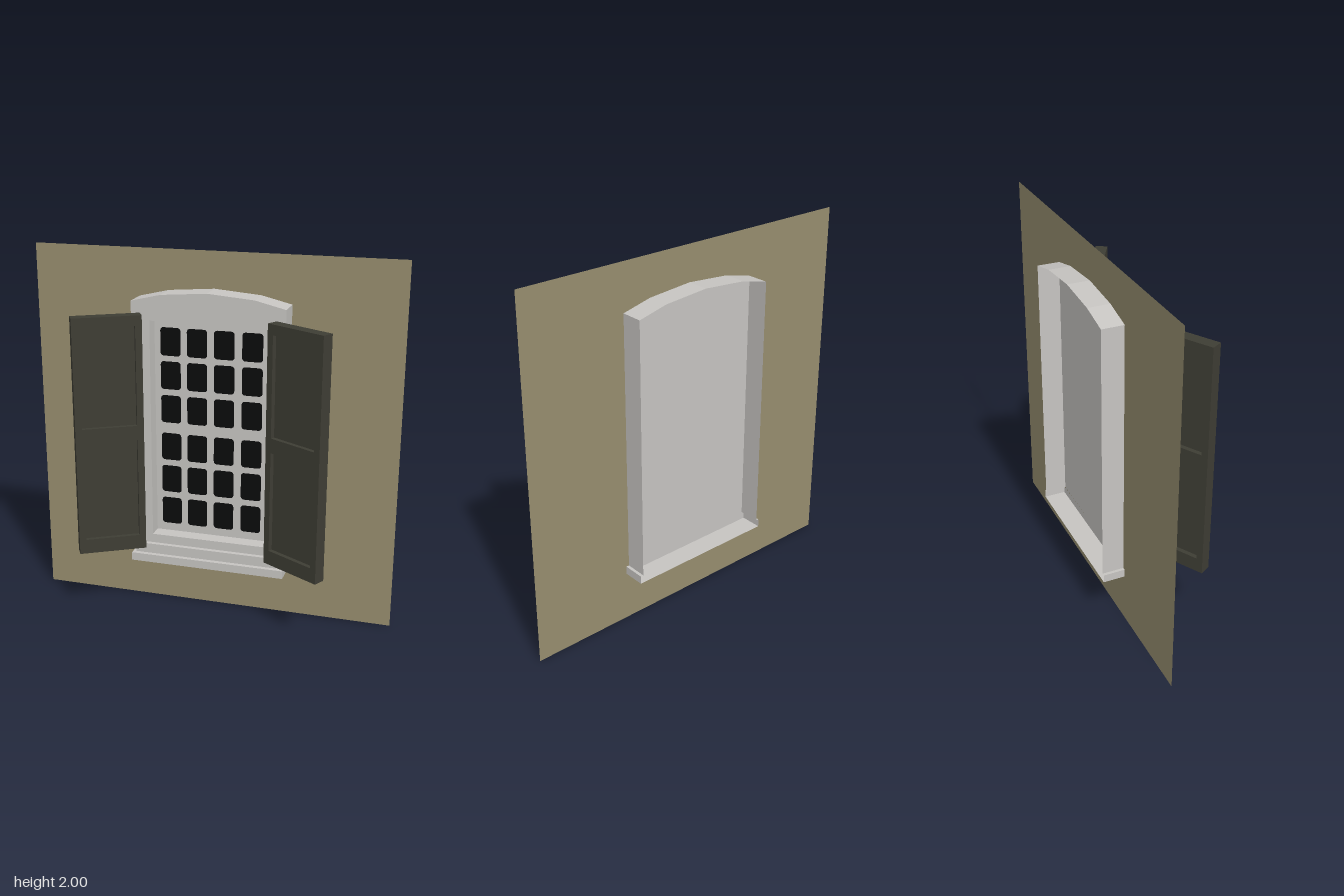
import * as THREE from 'three';

const material = (name, color, side = THREE.FrontSide) => {
  const m = new THREE.MeshStandardMaterial({ color, side });
  m.name = name;
  return m;
};

// Rectangle with optional corner radius, as a shape
function rect(x0, x1, y0, y1, r = 0) {
  const s = new THREE.Shape();
  if (!r) {
    s.moveTo(x0, y0).lineTo(x1, y0).lineTo(x1, y1).lineTo(x0, y1).closePath();
    return s;
  }
  s.absarc(x1 - r, y0 + r, r, -Math.PI / 2, 0);
  s.absarc(x1 - r, y1 - r, r, 0, Math.PI / 2);
  s.absarc(x0 + r, y1 - r, r, Math.PI / 2, Math.PI);
  s.absarc(x0 + r, y0 + r, r, Math.PI, Math.PI * 1.5);
  return s;
}

// Shape with holes, extruded between two depths
function slab(shape, holes, z0, z1) {
  shape.holes.push(...holes);
  const g = new THREE.ExtrudeGeometry(shape, { depth: z1 - z0, bevelEnabled: false });
  return g.translate(0, 0, z0);
}

// Open sheet that follows an outline between two depths
function sheet(points, z0, z1) {
  const pos = [];
  for (let i = 0; i < points.length - 1; i++) {
    const [ax, ay] = points[i], [bx, by] = points[i + 1];
    pos.push(ax, ay, z0, bx, by, z0, bx, by, z1, ax, ay, z0, bx, by, z1, ax, ay, z1);
  }
  const g = new THREE.BufferGeometry();
  g.setAttribute('position', new THREE.Float32BufferAttribute(pos, 3));
  g.computeVertexNormals();
  return g;
}

export function createModel() {
  const group = new THREE.Group();
  const wallMat = material('wall plaster', 0x968d6e, THREE.DoubleSide);
  const frameMat = material('white frame', 0xc6c4c1, THREE.DoubleSide);
  const shutterMat = material('dark shutter', 0x3e3d34);
  const glassMat = material('black glass', 0x0b0c0c);

  const add = (parent, name, geometry, mat) => {
    const mesh = new THREE.Mesh(geometry, mat);
    mesh.name = name;
    parent.add(mesh);
    return mesh;
  };

  const wallZ = -0.13, backZ = -0.25;

  // Wall
  add(group, 'wall', new THREE.PlaneGeometry(2, 2).translate(0, 1, wallZ), wallMat);

  // Arched surround, solid in front of the wall and an open sleeve behind it
  const arch = [[0.413, 0.325], [0.413, 1.745], [0.25, 1.784], [0, 1.804],
    [-0.25, 1.784], [-0.413, 1.745], [-0.413, 0.325]];
  const archShape = new THREE.Shape(arch.map(([x, y]) => new THREE.Vector2(x, y)));
  add(group, 'surround', slab(archShape, [rect(-0.365, 0.365, 0.38, 1.685)], wallZ, 0.01), frameMat);
  add(group, 'surroundSleeve', sheet(arch, backZ, wallZ), frameMat);

  // Sill
  add(group, 'sill', slab(rect(-0.43, 0.43, 0.28, 0.325), [], wallZ, 0.035), frameMat);
  const sillOutline = [[-0.413, 0.325], [-0.43, 0.325], [-0.43, 0.28],
    [0.43, 0.28], [0.43, 0.325], [0.413, 0.325]];
  add(group, 'sillSleeve', sheet(sillOutline, backZ, wallZ), frameMat);

  // Inner frame and sash
  add(group, 'innerFrame', slab(rect(-0.365, 0.365, 0.38, 1.685),
    [rect(-0.321, 0.321, 0.43, 1.64)], wallZ, -0.015), frameMat);
  add(group, 'sash', slab(rect(-0.321, 0.321, 0.43, 1.64), [], wallZ, -0.095), frameMat);

  // Panes
  const panes = new THREE.Group();
  panes.name = 'panes';
  group.add(panes);
  const paneGeometry = new THREE.ShapeGeometry(rect(-0.056, 0.056, -0.077, 0.077, 0.018), 4);
  for (const x of [-0.232, -0.085, 0.064, 0.217]) {
    for (const y of [0.552, 0.74, 0.928, 1.142, 1.33, 1.515]) {
      add(panes, 'pane', paneGeometry, glassMat).position.set(x, y, -0.092);
    }
  }

  // Shutters, swung open by thirty degrees, panelled on both faces
  const w = 0.365 / 2, t = 0.065, inset = 0.036;
  const openings = [[0.46, 1.01], [1.09, 1.63]];
  const holes = openings.map(([a, b]) => rect(-w + inset, w - inset, a, b));
  const shutterFrame = slab(rect(-w, w, 0.38, 1.685), holes, 0, t);
  for (const side of [1, -1]) {
    const shutter = new THREE.Group();
    shutter.name = side > 0 ? 'leftShutter' : 'rightShutter';
    shutter.position.set(side * 0.365, 0, 0.01);
    shutter.rotation.y = -side * Math.PI / 6;
    group.add(shutter);
    add(shutter, 'shutterFrame', shutterFrame, shutterMat).position.x = side * w;
    for (const [a, b] of openings) {
      const panel = new THREE.BoxGeometry(2 * (w - inset), b - a, 0.017);
      add(shutter, 'shutterPanel', panel, shutterMat).position.set(side * w, (a + b) / 2, t / 2);
    }
  }
  return group;
}
